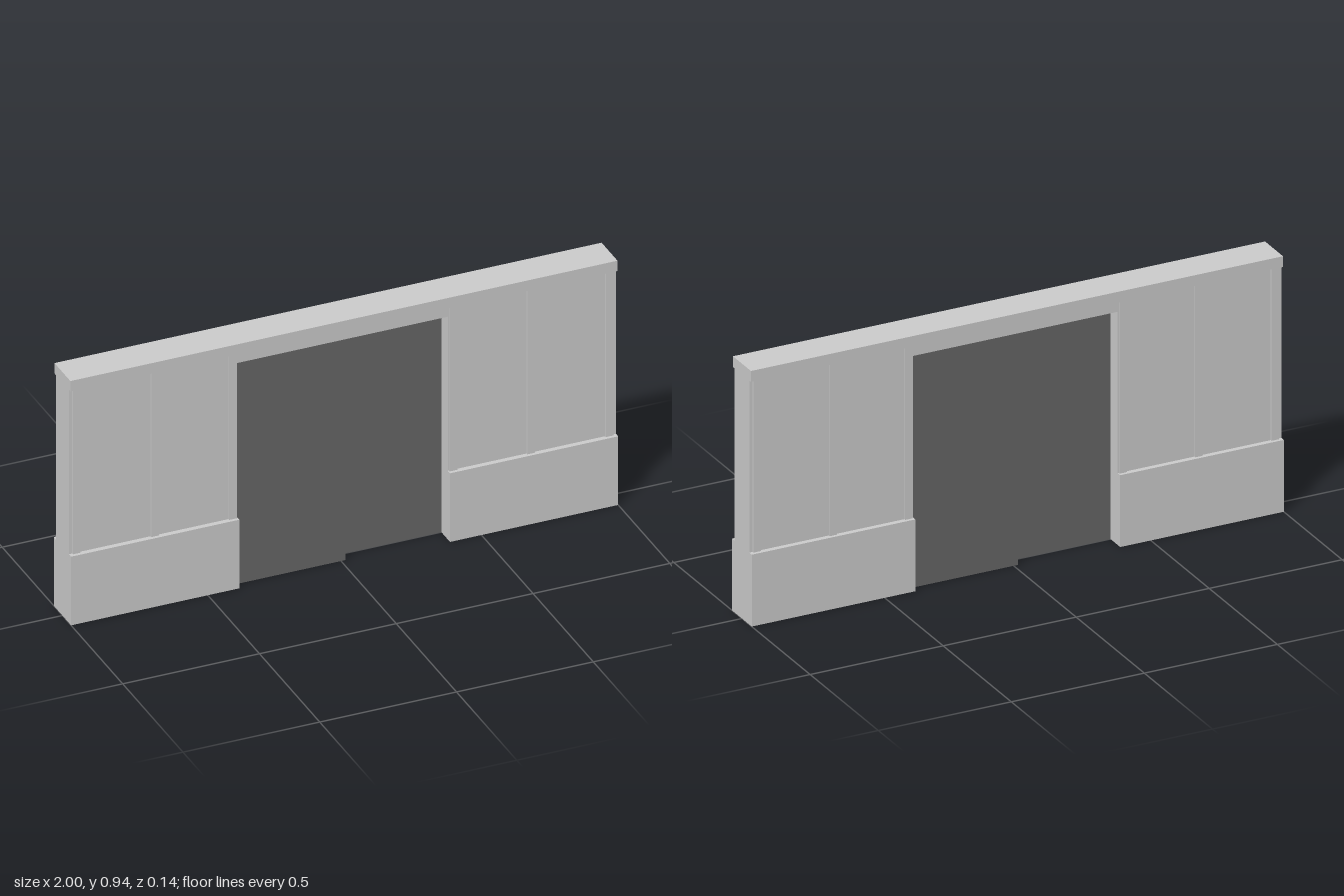
import * as THREE from 'three';

const grey = new THREE.MeshStandardMaterial({ color: 0xcccccc });
const dark = new THREE.MeshStandardMaterial({ color: 0x666666 });

const DOOR = 0.385;      // half width of the doorway
const DOOR_TOP = 0.86;
const PLINTH_TOP = 0.265;
const CAP_BOTTOM = 0.9;
const CAP_TOP = 0.94;
const WALL_DEPTH = 0.107;

// Box given by its limits on each axis
function box(name, [x0, x1], [y0, y1], [z0, z1], material = grey) {
  const mesh = new THREE.Mesh(new THREE.BoxGeometry(x1 - x0, y1 - y0, z1 - z0), material);
  mesh.position.set((x0 + x1) / 2, (y0 + y1) / 2, (z0 + z1) / 2);
  mesh.name = name;
  return mesh;
}

export function createModel() {
  const model = new THREE.Group();
  model.name = 'wallWithSlidingDoors';

  // Wall with a doorway cut up from the floor
  const outline = new THREE.Shape([
    [-1, 0], [-DOOR, 0], [-DOOR, DOOR_TOP], [DOOR, DOOR_TOP],
    [DOOR, 0], [1, 0], [1, CAP_BOTTOM], [-1, CAP_BOTTOM],
  ].map(([x, y]) => new THREE.Vector2(x, y)));
  const wall = new THREE.Mesh(
    new THREE.ExtrudeGeometry(outline, { depth: WALL_DEPTH, bevelEnabled: false }), grey);
  wall.position.z = -WALL_DEPTH / 2;
  wall.name = 'wall';
  model.add(wall);

  // Cap rail along the top
  model.add(box('capRail', [-1, 1], [CAP_BOTTOM, CAP_TOP], [-0.066, 0.066]));

  // Plinths and battens on both sides of the doorway
  for (const side of [-1, 1]) {
    const name = side > 0 ? 'left' : 'right';
    const span = (a, b) => (side > 0 ? [a, b] : [-b, -a]);
    model.add(box(name + 'Plinth', span(DOOR, 1), [0, PLINTH_TOP], [-0.072, 0.072]));
    for (const x of [0.403, 0.687, 0.974]) {
      // Each batten runs through the wall and stands out front and back
      model.add(box(name + 'Batten', span(x - 0.014, x + 0.014),
        [PLINTH_TOP, CAP_BOTTOM], [-0.06, 0.06]));
    }
  }

  // Two sliding leaves, one behind the other
  model.add(box('frontDoorLeaf', [-DOOR, 0.016], [0, DOOR_TOP], [0, 0.042], dark));
  model.add(box('backDoorLeaf', [-0.016, DOOR], [0, DOOR_TOP], [-0.042, 0], dark));

  return model;
}
